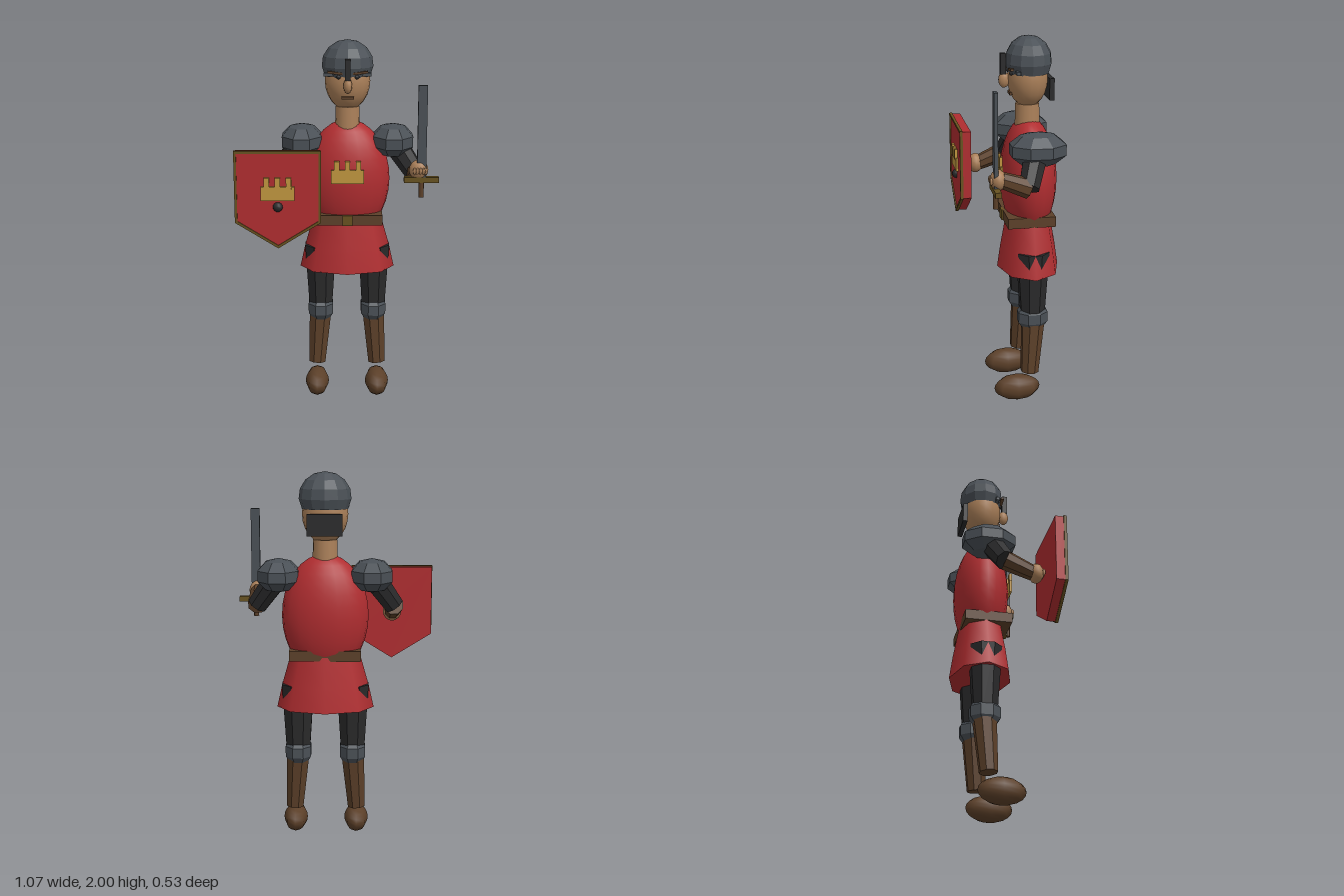
import * as THREE from 'three';

const mat = (name, color) => {
  const m = new THREE.MeshStandardMaterial({ color });
  m.name = name;
  return m;
};

export function createModel() {
  const red = mat('red cloth', 0xb02d30);
  const steel = mat('steel', 0x4a5056);
  const black = mat('black cloth', 0x2a2a2b);
  const brown = mat('brown leather', 0x5c4029);
  const skin = mat('skin', 0xab8059);
  const gold = mat('gold', 0xc0963f);
  const bronze = mat('dark bronze', 0x685220);

  const model = new THREE.Group();
  model.name = 'knight';
  const body = new THREE.Group();
  body.name = 'body';
  body.position.x = 0.053;
  model.add(body);

  // Helpers
  const flat = (g) => {
    const f = g.index ? g.toNonIndexed() : g;
    f.computeVertexNormals();
    return f;
  };
  const add = (parent, name, geo, material, x = 0, y = 0, z = 0) => {
    const m = new THREE.Mesh(geo, material);
    m.name = name;
    m.position.set(x, y, z);
    parent.add(m);
    return m;
  };
  const box = (parent, name, material, x, y, z, w, h, d) =>
    add(parent, name, new THREE.BoxGeometry(w, h, d), material, x, y, z);
  const ball = (parent, name, material, x, y, z, rx, ry, rz, ws = 16, hs = 12) =>
    add(parent, name, new THREE.SphereGeometry(1, ws, hs).scale(rx, ry, rz), material, x, y, z);
  // Faceted tapered limb from a to b
  const limb = (name, material, a, b, ra, rb) => {
    const A = new THREE.Vector3(...a), B = new THREE.Vector3(...b);
    const dir = B.clone().sub(A);
    const g = flat(new THREE.CylinderGeometry(rb, ra, dir.length(), 8).rotateY(Math.PI / 8));
    const m = add(body, name, g, material);
    m.position.copy(A).add(B).multiplyScalar(0.5);
    m.quaternion.setFromUnitVectors(new THREE.Vector3(0, 1, 0), dir.normalize());
  };
  const lathe = (pts, n) => new THREE.LatheGeometry(pts.map((p) => new THREE.Vector2(...p)), n);
  // Castle emblem with three battlements
  const castle = (parent, x, y, z) => {
    const g = new THREE.Group();
    g.name = 'castleEmblem';
    g.position.set(x, y, z);
    parent.add(g);
    box(g, 'castleWall', gold, 0, -0.025, 0, 0.176, 0.075, 0.012);
    for (const i of [-1, 0, 1])
      box(g, 'battlement', gold, i * 0.058, 0.03, 0.003, 0.028, 0.06, 0.016);
  };

  // Torso, skirt and belt
  ball(body, 'torso', red, 0, 1.24, -0.1, 0.232, 0.33, 0.15, 20, 16);
  const skirt = lathe([[0.262, 0.735], [0.234, 0.86], [0.186, 1.03]], 8);
  add(body, 'skirt', skirt.scale(1, 1, 0.645), red, 0, 0, -0.1);
  const hem = new THREE.CylinderGeometry(0.261, 0.261, 0.004, 8).scale(1, 1, 0.645);
  add(body, 'skirtLining', hem, red, 0, 0.738, -0.1);
  box(body, 'belt', brown, 0, 1.037, -0.088, 0.38, 0.055, 0.256);
  box(body, 'buckle', bronze, 0, 1.037, 0.042, 0.056, 0.056, 0.014);
  castle(body, 0, 1.31, 0.055);

  // Neck, head and face
  add(body, 'neck', new THREE.CylinderGeometry(0.064, 0.068, 0.14, 16), skin, 0, 1.575, -0.095);
  ball(body, 'head', skin, 0, 1.78, -0.095, 0.122, 0.157, 0.107);
  ball(body, 'nose', skin, 0, 1.77, 0.03, 0.023, 0.042, 0.03, 10, 8);
  box(body, 'mouth', brown, 0, 1.701, -0.005, 0.068, 0.015, 0.02);
  for (const s of [-1, 1]) {
    ball(body, 'eye', black, s * 0.048, 1.812, -0.003, 0.014, 0.012, 0.014, 8, 6);
    const brow = box(body, 'brow', brown, s * 0.068, 1.835, 0.005, 0.08, 0.012, 0.018);
    brow.rotation.z = s * 0.12;
  }

  // Helmet with nasal bar, brow band and neck guard
  const dome = new THREE.SphereGeometry(1, 12, 5, 0, Math.PI * 2, 0, Math.PI * 0.66);
  const helmet = mat('helmet steel', 0x4a5056);
  helmet.side = THREE.DoubleSide;
  add(body, 'helmet', flat(dome.scale(0.139, 0.131, 0.124)), helmet, 0, 1.869, -0.1);
  box(body, 'browBand', steel, 0, 1.822, -0.026, 0.254, 0.018, 0.02);
  box(body, 'nasalBar', black, 0, 1.855, 0.036, 0.03, 0.11, 0.028);
  box(body, 'neckGuard', black, 0, 1.728, -0.208, 0.186, 0.114, 0.026);

  // Legs, shoulders and arms, mirrored
  for (const s of [-1, 1]) {
    const side = s > 0 ? 'left' : 'right';
    const lx = s * 0.148;
    limb(side + 'Thigh', black, [lx, 0.865, -0.1], [lx, 0.49, -0.1], 0.093, 0.068);
    const knee = lathe([[0.05, 0.425], [0.072, 0.462], [0.072, 0.518], [0.05, 0.55]], 8);
    add(body, side + 'Knee', flat(knee.rotateY(Math.PI / 8).scale(1.04, 1, 1.2)), steel, lx, 0, -0.1);
    limb(side + 'Shin', brown, [lx, 0.5, -0.105], [s * 0.17, 0.165, -0.083], 0.068, 0.05);
    ball(body, side + 'Foot', brown, s * 0.169, 0.073, -0.013, 0.066, 0.073, 0.127, 8, 10);

    const pad = new THREE.SphereGeometry(1, 8, 5).rotateY(Math.PI / 8).scale(0.122, 0.092, 0.16);
    add(body, side + 'Pauldron', flat(pad), steel, s * 0.248, 1.455, -0.103);
    const hand = s > 0 ? [0.375, 1.34, 0.125] : [-0.365, 1.225, 0.132];
    const elbow = [s * 0.368, 1.285, -0.035];
    limb(side + 'UpperArm', black, [s * 0.245, 1.46, -0.1], elbow, 0.068, 0.056);
    limb(side + 'Forearm', brown, elbow, [hand[0], hand[1], hand[2] - 0.015], 0.054, 0.042);
    ball(body, side + 'Hand', skin, ...hand, 0.051, 0.055, 0.042, 10, 8);
    for (let i = 0; i < 4; i++)
      ball(body, side + 'Finger', skin, hand[0] + (i - 1.5) * 0.016, hand[1], hand[2] + 0.038,
        0.009, 0.02, 0.009, 6, 5);
  }

  // Sword
  const sword = new THREE.Group();
  sword.name = 'sword';
  sword.position.set(0.442, 0, 0.14);
  model.add(sword);
  box(sword, 'blade', steel, 0, 1.545, 0, 0.048, 0.49, 0.02);
  box(sword, 'guard', bronze, 0, 1.291, 0, 0.184, 0.028, 0.032);
  add(sword, 'grip', new THREE.CylinderGeometry(0.014, 0.014, 0.1, 8), brown, 0, 1.245, 0);

  // Shield: red body, bronze rim, emblem and boss
  const shield = new THREE.Group();
  shield.name = 'shield';
  shield.position.set(-0.313, 0, 0);
  model.add(shield);
  const outline = (Type, k) => {
    const p = new Type();
    p.moveTo(-0.226 + k, 1.466 - k);
    p.lineTo(-0.226 + k, 1.083 + k * 0.6);
    p.lineTo(0, 0.943 + k * 1.2);
    p.lineTo(0.226 - k, 1.083 + k * 0.6);
    p.lineTo(0.226 - k, 1.466 - k);
    p.closePath();
    return p;
  };
  const extrude = (shape, depth) => new THREE.ExtrudeGeometry(shape, { depth, bevelEnabled: false });
  add(shield, 'shieldBody', extrude(outline(THREE.Shape, 0.005), 0.055), red, 0, 0, 0.185);
  const rim = outline(THREE.Shape, 0);
  rim.holes.push(outline(THREE.Path, 0.013));
  add(shield, 'shieldRim', extrude(rim, 0.016), bronze, 0, 0, 0.231);
  castle(shield, 0, 1.265, 0.246);
  ball(shield, 'shieldBoss', black, 0, 1.167, 0.24, 0.026, 0.026, 0.025, 10, 8);

  return model;
}
